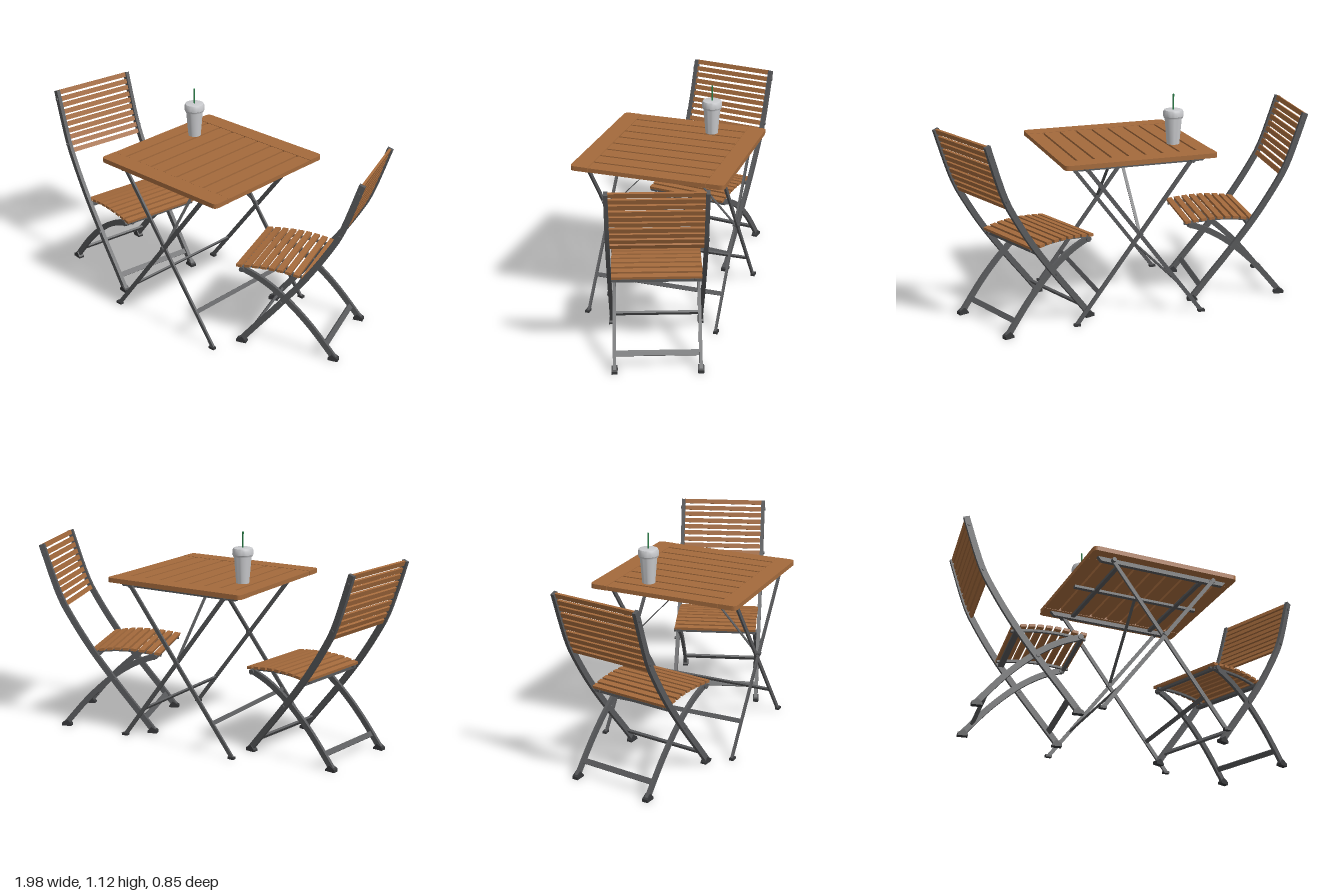
import * as THREE from 'three';
import { toCreasedNormals } from 'three/addons/utils/BufferGeometryUtils.js';

const material = (name, color) => {
  const m = new THREE.MeshStandardMaterial({ color });
  m.name = name;
  return m;
};
const V = (x, y, z) => new THREE.Vector3(x, y, z);

export function createModel() {
  const wood = material('wood', 0xa46a3c);
  const metal = material('grey metal', 0x58595b);
  const rubber = material('dark rubber', 0x37383a);
  const cupWhite = material('cup grey white', 0xc9cacd);
  const green = material('straw green', 0x2a8049);

  const add = (parent, name, geo, mat, x = 0, y = 0, z = 0) => {
    const m = new THREE.Mesh(geo, mat);
    m.name = name;
    m.position.set(x, y, z);
    parent.add(m);
    return m;
  };
  const box = (parent, name, mat, w, h, d, x, y, z) =>
    add(parent, name, new THREE.BoxGeometry(w, h, d), mat, x, y, z);

  // Square bar running from a to b
  const bar = (parent, name, mat, a, b, w, d) => {
    const m = box(parent, name, mat, w, a.distanceTo(b), d, 0, 0, 0);
    m.position.copy(a).add(b).multiplyScalar(0.5);
    m.quaternion.setFromUnitVectors(V(0, 1, 0), b.clone().sub(a).normalize());
    return m;
  };

  // Bolt with its axis along z
  const bolt = (parent, x, y, z, r = 0.011, len = 0.014) => {
    const g = new THREE.CylinderGeometry(r, r, len, 12).rotateX(Math.PI / 2);
    return add(parent, 'bolt', g, metal, x, y, z);
  };

  // Flat curved strip in the xy plane, given width, extruded along z
  const strip = (curve, width, depth) => {
    const left = [], right = [], n = 24;
    for (let i = 0; i <= n; i++) {
      const p = curve.getPointAt(i / n), t = curve.getTangentAt(i / n);
      left.push(new THREE.Vector2(p.x - t.y * width / 2, p.y + t.x * width / 2));
      right.unshift(new THREE.Vector2(p.x + t.y * width / 2, p.y - t.x * width / 2));
    }
    const g = new THREE.ExtrudeGeometry(new THREE.Shape([...left, ...right]), { depth, bevelEnabled: false });
    return toCreasedNormals(g.translate(0, 0, -depth / 2), 0.6);
  };
  const spline = pts => new THREE.SplineCurve(pts.map(p => new THREE.Vector2(...p)));

  // Curve parameter at a given height
  const atHeight = (curve, y) => {
    let best = 0;
    for (let i = 0; i <= 400; i++) {
      if (Math.abs(curve.getPointAt(i / 400).y - y) < Math.abs(curve.getPointAt(best).y - y)) best = i / 400;
    }
    return best;
  };

  // Folding chair facing +x
  const chair = name => {
    const c = new THREE.Group();
    c.name = name;
    const post = spline([[0.25, 0.012], [0.16, 0.125], [0.054, 0.256], [-0.08, 0.433], [-0.19, 0.604], [-0.26, 0.74], [-0.345, 0.995]]);
    const leg = spline([[-0.245, 0.012], [-0.11, 0.17], [0.026, 0.295], [0.15, 0.375], [0.265, 0.42]]);
    const seat = spline([[-0.09, 0.425], [0.02, 0.44], [0.12, 0.442], [0.21, 0.435], [0.285, 0.425]]);

    for (const s of [-1, 1]) {
      add(c, 'backPost', strip(post, 0.03, 0.02), metal, 0, 0, s * 0.23);
      add(c, 'curvedLeg', strip(leg, 0.03, 0.016), metal, 0, 0, s * 0.21);
      add(c, 'seatRail', strip(seat, 0.012, 0.014), metal, 0, -0.008, s * 0.188);
      bolt(c, 0.04, 0.28, s * 0.232, 0.01, 0.03);
      bolt(c, 0.255, 0.415, s * 0.212, 0.014, 0.03);
      for (const y of [0.71, 0.95]) {
        const p = post.getPointAt(atHeight(post, y));
        bolt(c, p.x, y, s * 0.236, 0.008, 0.02);
      }
      // Rubber feet follow the slope of the legs
      const foot = (u, dir, z) => {
        const shape = new THREE.Shape([[-0.026, 0], [0.026, 0], [0.026, 0.01], [0.005, 0.034], [-0.026, 0.016]]
          .map(p => new THREE.Vector2(-p[0] * dir * -1, p[1])));
        const g = new THREE.ExtrudeGeometry(shape, { depth: 0.03, bevelEnabled: false });
        add(c, 'foot', g, rubber, u, 0, z - 0.015);
      };
      foot(0.245, -1, s * 0.23);
      foot(-0.24, 1, s * 0.21);
    }
    // Cross bars near the floor and under the seat
    for (const [curve, w] of [[post, 0.44], [leg, 0.41]]) {
      const t = atHeight(curve, 0.075), p = curve.getPointAt(t), d = curve.getTangentAt(t);
      box(c, 'crossBar', metal, 0.028, 0.012, w, p.x, p.y, 0).rotation.z = Math.atan2(d.y, d.x);
    }
    box(c, 'seatCrossBar', metal, 0.03, 0.014, 0.44, -0.062, 0.41, 0);
    box(c, 'frontCrossBar', metal, 0.018, 0.014, 0.42, 0.262, 0.415, 0);

    // Seat slats over the arched rails
    for (let i = 0; i < 9; i++) {
      const t = 0.04 + 0.92 * i / 8, p = seat.getPointAt(t), d = seat.getTangentAt(t);
      box(c, 'seatSlat', wood, 0.03, 0.014, 0.445, p.x, p.y + 0.006, 0).rotation.z = Math.atan2(d.y, d.x);
    }
    // Back slats along the posts
    for (let i = 0; i < 10; i++) {
      const t = atHeight(post, 0.675 + i * 0.0342), p = post.getPointAt(t), d = post.getTangentAt(t);
      box(c, 'backSlat', wood, 0.025, 0.012, 0.445, p.x, p.y, 0).rotation.z = Math.atan2(d.y, d.x);
    }
    return c;
  };

  const model = new THREE.Group();
  model.name = 'patioSet';

  const leftChair = chair('chairA');
  leftChair.position.set(-0.6, 0, 0.02);
  leftChair.rotation.y = -8 * Math.PI / 180;
  const rightChair = chair('chairB');
  rightChair.position.set(0.574, 0, -0.08);
  rightChair.rotation.y = 200 * Math.PI / 180;
  model.add(leftChair, rightChair);

  // Folding table
  const table = new THREE.Group();
  table.name = 'table';
  table.position.set(0.027, 0, 0.026);
  model.add(table);

  // End boards with rounded outer corners
  const R = 0.025, W = 0.4;
  const board = new THREE.Shape();
  board.moveTo(-W, 0.306);
  board.lineTo(W, 0.306);
  board.lineTo(W, W - R);
  board.quadraticCurveTo(W, W, W - R, W);
  board.lineTo(-W + R, W);
  board.quadraticCurveTo(-W, W, -W, W - R);
  for (const a of [0, Math.PI]) {
    const g = new THREE.ExtrudeGeometry(board, { depth: 0.024, bevelEnabled: false, curveSegments: 6 });
    g.rotateX(-Math.PI / 2).rotateY(a);
    add(table, 'endBoard', g, wood, 0, 0.831, 0);
  }
  for (let i = 0; i < 9; i++) {
    box(table, 'topSlat', wood, 0.078, 0.022, 0.608, (i - 4) * 0.0902, 0.843, 0);
  }

  // Rails with bevelled ends under the top
  const railShape = new THREE.Shape([[-0.36, 0.832], [-0.34, 0.808], [0.34, 0.808], [0.36, 0.832]].map(p => new THREE.Vector2(...p)));
  for (const z of [-0.335, 0.335]) {
    add(table, 'topRail', new THREE.ExtrudeGeometry(railShape, { depth: 0.022, bevelEnabled: false }), metal, 0, 0, z - 0.011);
  }
  box(table, 'centreRail', metal, 0.7, 0.014, 0.024, 0, 0.825, 0);
  for (const s of [-1, 1]) {
    box(table, 'topCrossBar', metal, 0.022, 0.014, 0.66, s * 0.23, 0.823, 0);
    // Diagonal stays from the pivots to the middle of the top
    bar(table, 'stay', metal, V(0, 0.46, s * 0.35), V(0, 0.822, s * 0.015), 0.016, 0.004);
    bolt(table, 0, 0.46, s * 0.356, 0.011, 0.036);
    // Crossed legs: one pair outside, one pair inside
    for (const [dir, z] of [[1, 0.363], [-1, 0.348]]) {
      bar(table, 'tableLeg', metal, V(-0.335 * dir, 0.008, s * z), V(0.278 * dir, 0.82, s * z), 0.02, 0.011);
      bolt(table, 0.278 * dir, 0.818, s * 0.355, 0.012, 0.03);
      box(table, 'tableFoot', rubber, 0.034, 0.012, 0.022, -0.335 * dir, 0.008, s * (z + 0.004));
    }
  }
  for (const dir of [-1, 1]) {
    const b = box(table, 'legCrossBar', metal, 0.01, 0.022, 0.71, -0.217 * dir, 0.165, 0);
    b.rotation.z = -dir * 0.645;
  }

  // Drink with lid and straw
  const cup = new THREE.Group();
  cup.name = 'drink';
  cup.position.set(-0.23, 0.855, -0.113);
  model.add(cup);
  const lathe = pts => toCreasedNormals(new THREE.LatheGeometry(pts.map(p => new THREE.Vector2(...p)), 32), 0.6);
  add(cup, 'cupBody', lathe([[0, 0], [0.033, 0], [0.045, 0.142], [0, 0.142]]), cupWhite);
  add(cup, 'cupLid', lathe([[0, 0.136], [0.049, 0.136], [0.05, 0.142], [0.053, 0.146], [0.053, 0.166], [0.048, 0.178], [0.042, 0.18], [0, 0.18]]), cupWhite);
  add(cup, 'straw', new THREE.CylinderGeometry(0.004, 0.004, 0.09, 12), green, 0, 0.215, 0);

  return model;
}
